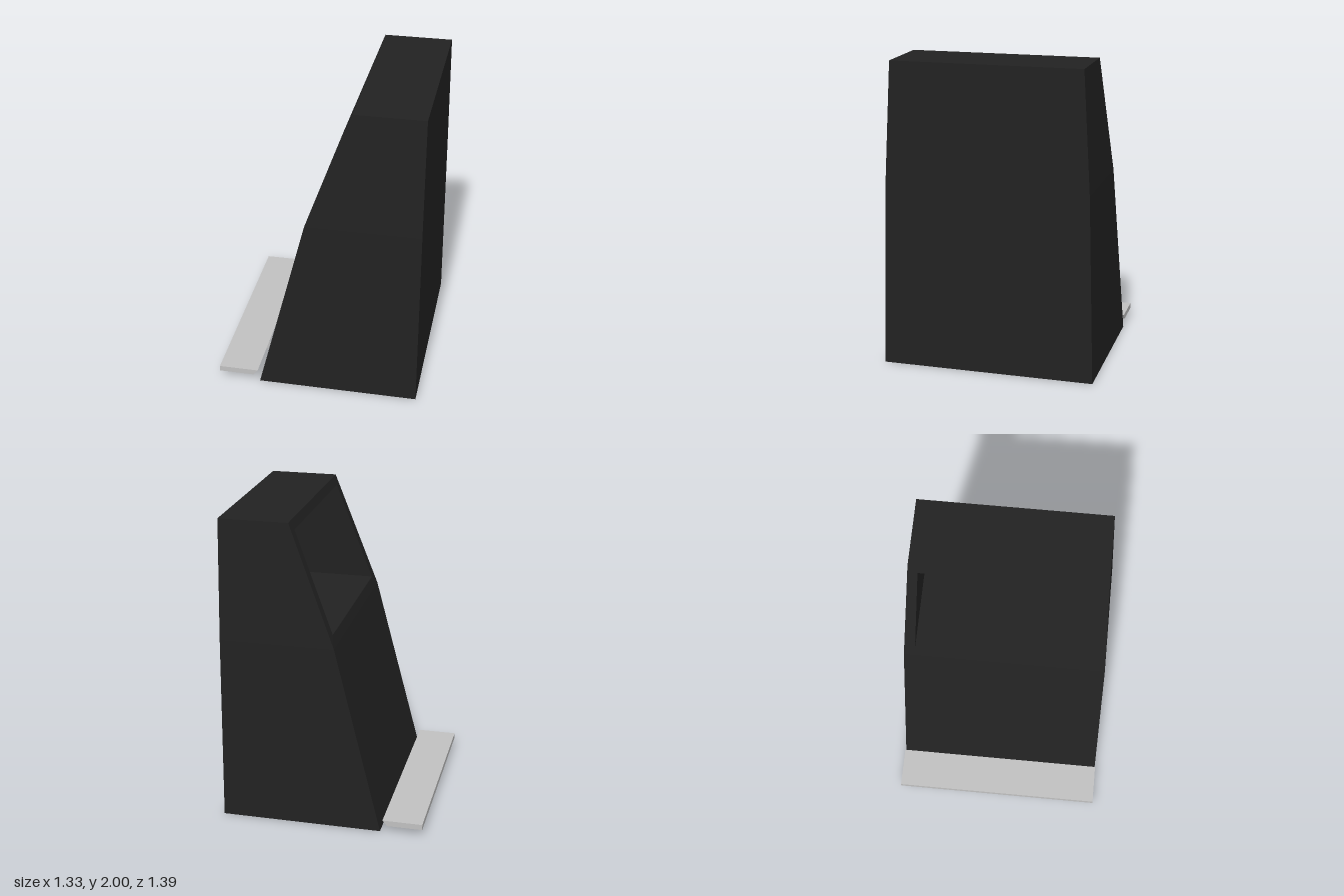
import * as THREE from 'three';

const bodyMat = new THREE.MeshStandardMaterial({ color: 0x222222 });
bodyMat.name = 'charcoal';
const trimMat = new THREE.MeshStandardMaterial({ color: 0xc0c0c0 });
trimMat.name = 'light grey';

// Flat-shaded surface from four-cornered faces (counter-clockwise from outside)
function faces(name, quads, material) {
  const points = quads.flatMap(([a, b, c, d]) => [a, b, c, a, c, d]).flat();
  const geo = new THREE.BufferGeometry();
  geo.setAttribute('position', new THREE.Float32BufferAttribute(points, 3));
  geo.computeVertexNormals();
  const mesh = new THREE.Mesh(geo, material);
  mesh.name = name;
  return mesh;
}

// Band of four faces joining two four-cornered rings
const band = (p, q) => [0, 1, 2, 3].map((i) => {
  const j = (i + 1) % 4;
  return [p[i], p[j], q[j], q[i]];
});

// Prism with an x-y profile, running along z and centred at the given z
function prism(name, profile, width, z, material) {
  const shape = new THREE.Shape(profile.map(([x, y]) => new THREE.Vector2(x, y)));
  const geo = new THREE.ExtrudeGeometry(shape, { depth: width, bevelEnabled: false });
  geo.translate(0, 0, z - width / 2);
  const mesh = new THREE.Mesh(geo, material);
  mesh.name = name;
  return mesh;
}

export function createModel() {
  const model = new THREE.Group();
  model.name = 'kiosk';

  // Cabinet: upright back, two-step sloping face, tapering sides
  const backX = 0.66;
  const ring = (y, x, h) => [[x, y, -h], [x, y, h], [backX, y, h], [backX, y, -h]];
  const base = ring(0, -0.39, 0.695);
  const waist = ring(1.22, -0.08, 0.66);
  const top = ring(2, 0.212, 0.615);
  const [, ...upperSides] = band(waist, top);
  model.add(faces('cabinet', [
    ...band(base, waist), ...upperSides, top, [...base].reverse(),
  ], bodyMat));

  // Frame around the opening in the upper slope
  const outer = [waist[0], waist[1], top[1], top[0]];
  const opening = [[-0.055, 1.287, -0.585], [-0.055, 1.287, 0.585],
    [0.19, 1.942, 0.555], [0.19, 1.942, -0.555]];
  model.add(faces('openingFrame', band(outer, opening), bodyMat));

  // Recess running back from the opening to an upright inner wall
  const inner = opening.map(([, y, z]) => [0.585, y, z]);
  model.add(faces('recess', [...band(opening, inner), inner], bodyMat));

  // Foot plate with a slanted inner edge
  model.add(prism('footPlate', [
    [-0.665, 0.043], [-0.435, 0.043], [-0.405, 0.08], [-0.665, 0.08],
  ], 1.39, 0, trimMat));

  // Two brackets: a thin arm under the plate ending in an angled foot
  for (const side of [-1, 1]) {
    model.add(prism(side > 0 ? 'frontBracket' : 'backBracket', [
      [-0.625, 0.043], [-0.475, 0.033], [-0.455, 0], [-0.42, 0], [-0.448, 0.033], [-0.435, 0.043],
    ], 0.07, side * 0.3, trimMat));
  }
  return model;
}
